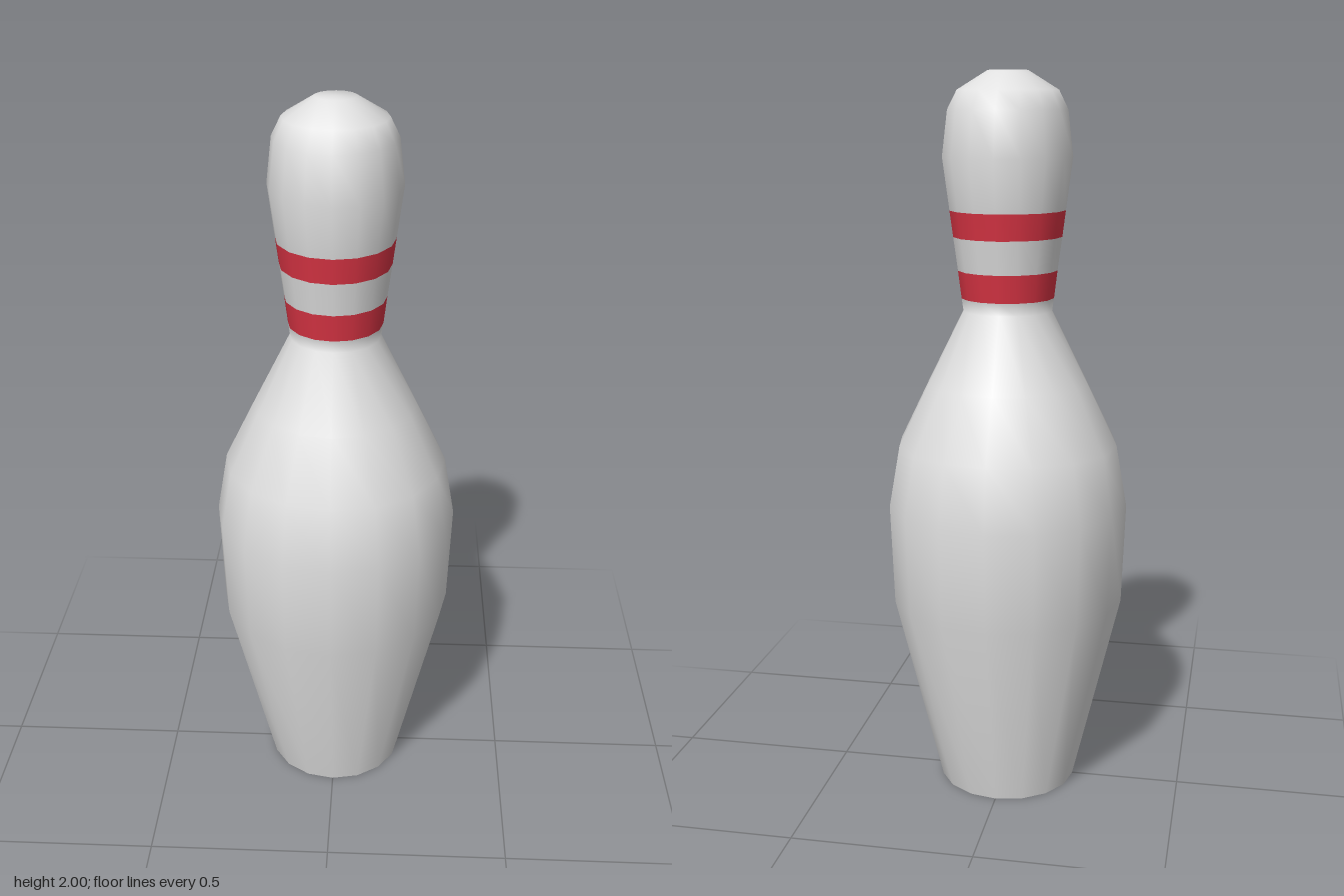
import * as THREE from 'three';
import { mergeVertices } from 'three/addons/utils/BufferGeometryUtils.js';

const SIDES = 16;

// Rings from floor to crown: height, half width in x, half depth in z, material of the band above
const WHITE = 0, RED = 1;
const RINGS = [
  [0.00, 0.193, 0.193, WHITE],
  [0.55, 0.325, 0.325, WHITE],
  [0.83, 0.335, 0.335, WHITE],
  [1.00, 0.305, 0.305, WHITE],
  [1.17, 0.222, 0.222, WHITE],
  [1.37, 0.122, 0.127, WHITE],
  [1.405, 0.127, 0.133, RED],
  [1.48, 0.136, 0.146, WHITE],
  [1.57, 0.148, 0.161, RED],
  [1.64, 0.157, 0.173, WHITE],
  [1.78, 0.175, 0.197, WHITE],
  [1.90, 0.161, 0.175, WHITE],
  [1.95, 0.136, 0.140, WHITE],
  [2.00, 0.054, 0.054, WHITE],
  [2.00, 0, 0, WHITE],
];

function pinGeometry() {
  const profile = RINGS.map(([y, rx]) => new THREE.Vector2(rx, y));
  const lathe = new THREE.LatheGeometry(profile, SIDES);
  const n = RINGS.length, bands = n - 1;

  // Stretch each ring to its own depth
  const pos = lathe.attributes.position;
  for (let i = 0; i < pos.count; i++) {
    const [, rx, rz] = RINGS[i % n];
    if (rx > 0) pos.setZ(i, pos.getZ(i) * rz / rx);
  }

  // Reorder faces band by band so every band is one material group
  const old = lathe.index.array, index = [];
  for (let j = 0; j < bands; j++) {
    lathe.addGroup(j * SIDES * 6, SIDES * 6, RINGS[j][3]);
    for (let i = 0; i < SIDES; i++) {
      const k = (i * bands + j) * 6;
      index.push(...old.slice(k, k + 6));
    }
  }
  lathe.setIndex(index);

  // Weld the seam for smooth shading all round
  lathe.deleteAttribute('normal');
  lathe.deleteAttribute('uv');
  const geometry = mergeVertices(lathe);
  geometry.computeVertexNormals();
  return geometry;
}

export function createModel() {
  const white = new THREE.MeshStandardMaterial({ name: 'white', color: 0xe0e0e0 });
  const red = new THREE.MeshStandardMaterial({ name: 'red', color: 0xdc3545 });
  const model = new THREE.Group();
  model.name = 'bowlingPin';

  // Body, striped neck and head in one smooth skin
  const body = new THREE.Mesh(pinGeometry(), [white, red]);
  body.name = 'pinBody';
  model.add(body);

  // Flat underside
  const base = new THREE.Mesh(new THREE.CircleGeometry(RINGS[0][1], SIDES), white);
  base.name = 'base';
  base.rotation.x = Math.PI / 2;
  model.add(base);

  return model;
}
